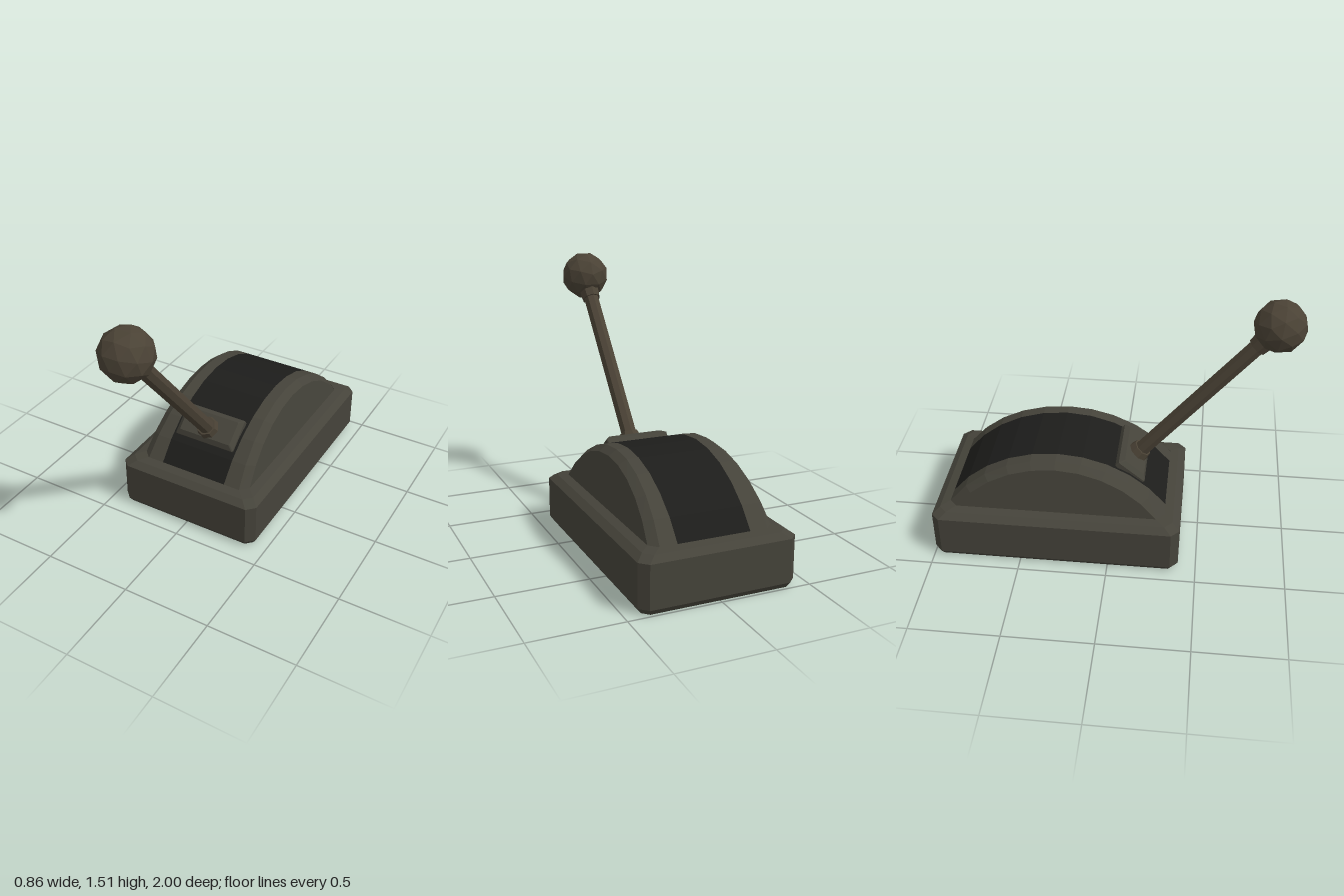
import * as THREE from 'three';

const material = (color) =>
  new THREE.MeshStandardMaterial({ color, flatShading: true, side: THREE.DoubleSide });
const bodyMat = material(0x45433a);
const darkMat = material(0x1d1d1b);
const leverMat = material(0x4a4235);

function add(parent, name, geometry, mat, y = 0) {
  const mesh = new THREE.Mesh(geometry, mat);
  mesh.name = name;
  mesh.position.y = y;
  parent.add(mesh);
  return mesh;
}

// Skin a list of equally long rows of [x, y, z] points
function skin(rows) {
  const n = rows[0].length, index = [];
  for (let i = 0; i < rows.length - 1; i++) {
    for (let j = 0; j < n - 1; j++) {
      const a = i * n + j, d = a + n;
      index.push(a, a + 1, d + 1, a, d + 1, d);
    }
  }
  const g = new THREE.BufferGeometry();
  g.setAttribute('position', new THREE.Float32BufferAttribute(rows.flat(2), 3));
  g.setIndex(index);
  const flat = g.toNonIndexed();
  flat.computeVertexNormals();
  return flat;
}

// Closed rectangle with cut corners, counterclockwise from above
function ring(hx, hz, cut, y) {
  const p = [[hx - cut, hz], [hx, hz - cut], [hx, cut - hz], [hx - cut, -hz],
    [cut - hx, -hz], [-hx, cut - hz], [-hx, hz - cut], [cut - hx, hz]];
  return [...p, p[0]].map(([x, z]) => [x, y, z]);
}

export function createModel() {
  const model = new THREE.Group();
  const housing = new THREE.Group();
  housing.name = 'housing';
  housing.position.z = -0.3;
  model.add(housing);

  // Hollow base, open underneath, with bevelled edges and a sloping ledge
  add(housing, 'base', skin([
    ring(0.41, 0.68, 0.035, 0),
    ring(0.43, 0.7, 0.045, 0.03),
    ring(0.43, 0.7, 0.045, 0.265),
    ring(0.39, 0.66, 0.045, 0.293),
    ring(0.34, 0.61, 0.043, 0.303),
  ]), bodyMat);

  // Arched cover: dark centre strip, bevelled rims and upright sides
  const R = 0.755, half = Math.asin(0.61 / R), steps = 10;
  const strip = [], left = [], right = [];
  for (let i = 0; i <= steps; i++) {
    const a = half * (1 - 2 * i / steps);
    const z = R * Math.sin(a), h = R * (Math.cos(a) - Math.cos(half));
    const y = 0.3 + h, flare = 0.03 * (1 - h / 0.31);
    const side = [
      [0.2, y, z],
      [0.265 + flare, y, z],
      [0.31 + flare, 0.3 + h * 0.9, z * 0.93],
      [0.34, 0.3, z * 0.93],
    ];
    strip.push([[-0.2, y, z], [0, y, z], [0.2, y, z]]);
    left.push(side);
    right.push(side.map(([px, py, pz]) => [-px, py, pz]).reverse());
  }
  add(housing, 'coverStrip', skin(strip), darkMat);
  add(housing, 'coverLeftSide', skin(left), bodyMat);
  add(housing, 'coverRightSide', skin(right), bodyMat);

  // Lever leaning forward, built along its own axis
  const lever = new THREE.Group();
  lever.name = 'lever';
  lever.position.set(0, 0.494, 0.124);
  lever.rotation.x = 0.694;
  model.add(lever);

  const plate = add(lever, 'pivotPlate', skin([
    ring(0.185, 0.095, 0.005, -0.03),
    ring(0.185, 0.095, 0.005, 0.0),
    ring(0.16, 0.07, 0.005, 0.022),
    ring(0.01, 0.01, 0.005, 0.022),
  ]), bodyMat);
  plate.position.z = -0.012;

  add(lever, 'lowerCollar', new THREE.CylinderGeometry(0.055, 0.07, 0.06, 8), leverMat, 0.03);
  add(lever, 'rod', new THREE.CylinderGeometry(0.046, 0.046, 1.05, 8), leverMat, 0.525);
  add(lever, 'upperCollar', new THREE.CylinderGeometry(0.062, 0.055, 0.06, 8), leverMat, 1.01);
  add(lever, 'knob', new THREE.IcosahedronGeometry(0.142, 1), leverMat, 1.15);

  return model;
}
